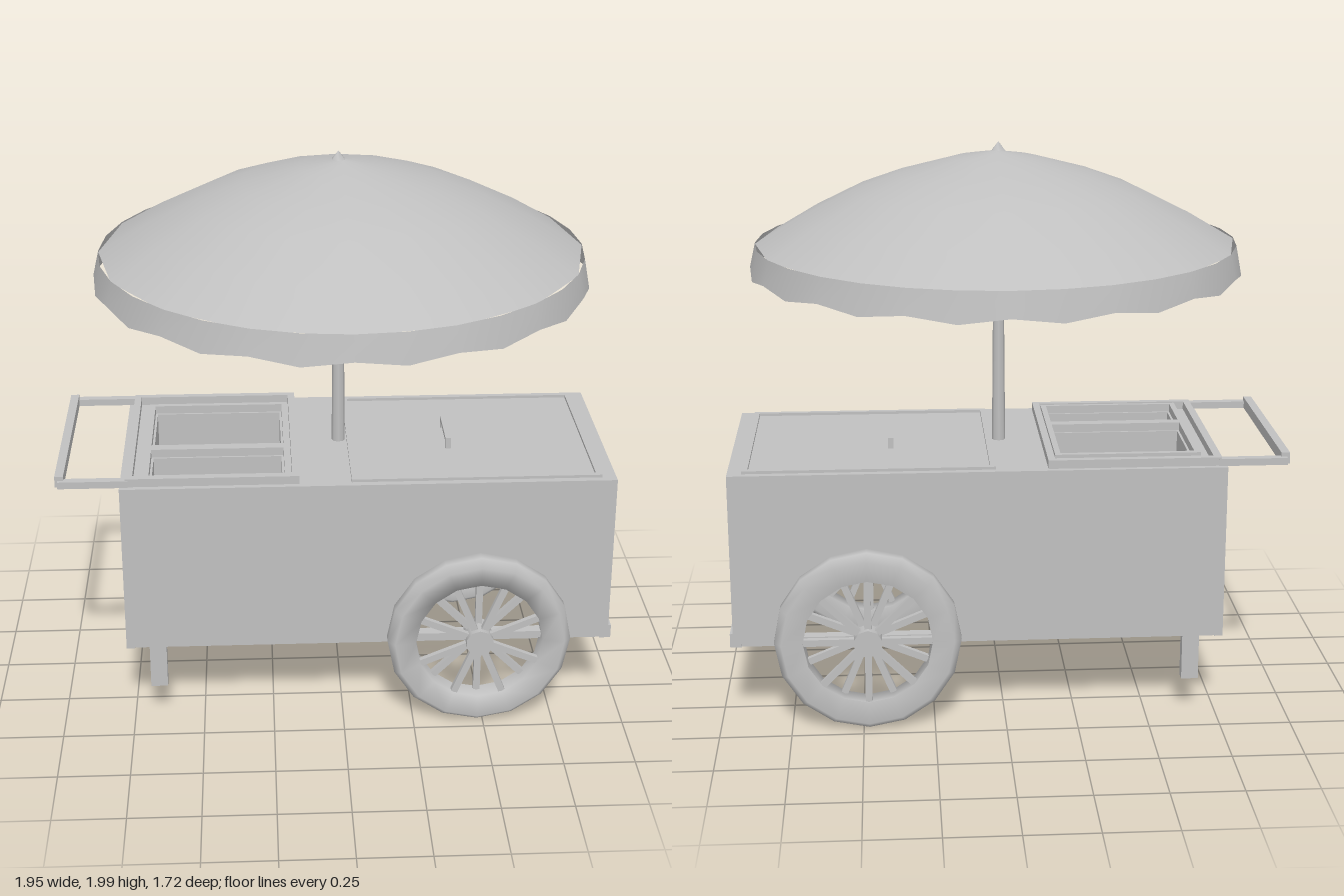
import * as THREE from 'three';

export function createModel() {
  const root = new THREE.Group();
  root.name = 'vendorCart';
  const grey = new THREE.MeshStandardMaterial({ color: 0xc0c0c0, side: THREE.DoubleSide });
  grey.name = 'plain grey';

  const add = (name, geo, parent = root) => {
    const m = new THREE.Mesh(geo, grey);
    m.name = name;
    parent.add(m);
    return m;
  };
  // Box given by its limits on each axis
  const box = (name, x0, x1, y0, y1, z0, z1, parent) => {
    const m = add(name, new THREE.BoxGeometry(x1 - x0, y1 - y0, z1 - z0), parent);
    m.position.set((x0 + x1) / 2, (y0 + y1) / 2, (z0 + z1) / 2);
    return m;
  };
  const rect = (P, x0, x1, z0, z1) => new P()
    .moveTo(x0, -z1).lineTo(x1, -z1).lineTo(x1, -z0).lineTo(x0, -z0).closePath();
  // Horizontal plate with rectangular holes
  const plate = (name, limits, holes, y, h) => {
    const s = rect(THREE.Shape, ...limits);
    holes.forEach(o => s.holes.push(rect(THREE.Path, ...o)));
    const g = new THREE.ExtrudeGeometry(s, { depth: h, bevelEnabled: false });
    g.rotateX(-Math.PI / 2);
    add(name, g).position.y = y;
  };

  // Cart body: side walls with wheel arches, closed left end, open right end and floor
  const X0 = -0.77, X1 = 0.95, Y0 = 0.31, Y1 = 0.92, Z = 0.39;
  const wheelX = 0.48, wheelY = 0.335, arch = 0.28;
  const a = Math.asin((wheelY - Y0) / arch);
  const wall = new THREE.Shape();
  wall.moveTo(X0, Y0);
  wall.lineTo(X0, Y1);
  wall.lineTo(X1, Y1);
  wall.lineTo(X1, Y0);
  wall.lineTo(wheelX + arch * Math.cos(a), Y0);
  wall.absarc(wheelX, wheelY, arch, -a, Math.PI + a, false);
  wall.closePath();
  const wallGeo = new THREE.ExtrudeGeometry(wall, { depth: 0.01, bevelEnabled: false, curveSegments: 8 });
  add('frontWall', wallGeo).position.z = Z - 0.01;
  add('backWall', wallGeo).position.z = -Z;
  box('leftEndWall', X0, X0 + 0.01, Y0, Y1, -Z, Z);

  // Counter with two sunken food wells
  const wells = [[-0.67, -0.2, 0.12, 0.33, 0.5], [-0.67, -0.2, -0.27, 0.08, 0.75]];
  plate('counterTop', [X0, X1, -Z, Z], wells.map(w => w.slice(0, 4)), Y1 - 0.01, 0.015);
  for (const [x0, x1, z0, z1, y] of wells) {
    const well = new THREE.Group();
    well.name = 'foodWell';
    root.add(well);
    const t = 0.008, top = Y1;
    box('wellFloor', x0, x1, y, y + t, z0, z1, well);
    box('wellLeftSide', x0, x0 + t, y, top, z0, z1, well);
    box('wellRightSide', x1 - t, x1, y, top, z0, z1, well);
    box('wellBackSide', x0, x1, y, top, z0, z0 + t, well);
    box('wellFrontSide', x0, x1, y, top, z1 - t, z1, well);
    plate('wellLip', [x0 - 0.02, x1 + 0.02, z0 - 0.02, z1 + 0.02], [[x0, x1, z0, z1]], Y1, 0.03);
  }
  plate('leftCounterRim', [X0 + 0.02, -0.15, -0.37, 0.37], [[X0 + 0.045, -0.175, -0.345, 0.345]], Y1, 0.035);
  plate('rightCounterRim', [0.03, 0.9, -0.365, 0.365], [[0.05, 0.88, -0.345, 0.345]], Y1, 0.015);

  // Lid handle
  box('lidHandle', 0.38, 0.4, 0.95, 0.965, -0.1, 0.1);
  for (const s of [-1, 1]) box('lidHandlePost', 0.38, 0.4, Y1, 0.96, s * 0.09 - 0.01, s * 0.09 + 0.01);

  // Open end frame and lower rails
  for (const s of [-1, 1]) {
    box('endPost', X1 - 0.03, X1 - 0.01, Y0, Y1, s * 0.365 - 0.02, s * 0.365 + 0.02);
    box('lowerSideRail', X0, X1, 0.3, 0.33, s * 0.365 - 0.02, s * 0.365 + 0.02);
  }
  box('endTopRail', X1 - 0.03, X1 - 0.01, 0.865, Y1, -Z + 0.01, Z - 0.01);
  box('endBottomRail', X1 - 0.03, X1 + 0.01, 0.3, 0.35, -Z, Z);
  box('leftBottomRail', X0, X0 + 0.03, 0.3, 0.33, -Z, Z);

  // Push handle and legs
  box('pushBar', -0.99, -0.96, 0.925, 0.965, -0.36, 0.36);
  for (const s of [-1, 1]) {
    box('handleArm', -0.98, X0 + 0.03, 0.925, 0.95, s * 0.36 - 0.015, s * 0.36 + 0.015);
    box('leg', -0.69, -0.63, 0.13, Y0, s * 0.35 - 0.02, s * 0.35 + 0.02);
  }

  // Spoked wheels
  const tyre = [[0.225, -0.035], [0.3, -0.05], [0.325, -0.02], [0.325, 0.02], [0.3, 0.05], [0.225, 0.035], [0.225, -0.035]]
    .map(p => new THREE.Vector2(...p));
  const tyreGeo = new THREE.LatheGeometry(tyre, 16).rotateX(Math.PI / 2);
  const hubGeo = new THREE.CylinderGeometry(0.05, 0.05, 0.1, 10).rotateX(Math.PI / 2);
  const spokeGeo = new THREE.BoxGeometry(0.2, 0.024, 0.02).translate(0.135, 0, 0);
  for (const s of [-1, 1]) {
    const wheel = new THREE.Group();
    wheel.name = s > 0 ? 'frontWheel' : 'backWheel';
    wheel.position.set(wheelX, wheelY, s * 0.425);
    add('tyre', tyreGeo, wheel);
    add('hub', hubGeo, wheel);
    for (let i = 0; i < 16; i++) {
      const spoke = add('spoke', spokeGeo, wheel);
      spoke.rotation.z = i * Math.PI / 8;
      spoke.position.z = i % 2 ? 0.02 : -0.02;
    }
    root.add(wheel);
  }

  // Umbrella pole, canopy, finial and scalloped valance
  const pole = add('pole', new THREE.CylinderGeometry(0.015, 0.024, 1.03, 8));
  pole.position.y = 1.435;
  const canopy = [[0.84, 1.65], [0.68, 1.745], [0.5, 1.835], [0.35, 1.89], [0.15, 1.945], [0.001, 1.97]]
    .map(p => new THREE.Vector2(...p));
  add('canopy', new THREE.LatheGeometry(canopy, 16)).position.x = 0.01;
  add('finial', new THREE.ConeGeometry(0.025, 0.03, 6)).position.set(0, 1.985, 0);
  const valance = new THREE.CylinderGeometry(0.84, 0.86, 0.1, 32, 1, true);
  const p = valance.attributes.position;
  for (let i = 33; i < p.count; i++) p.setY(i, i % 2 ? -0.035 : -0.055);
  valance.computeVertexNormals();
  add('valance', valance).position.set(0.01, 1.605, 0);

  return root;
}
